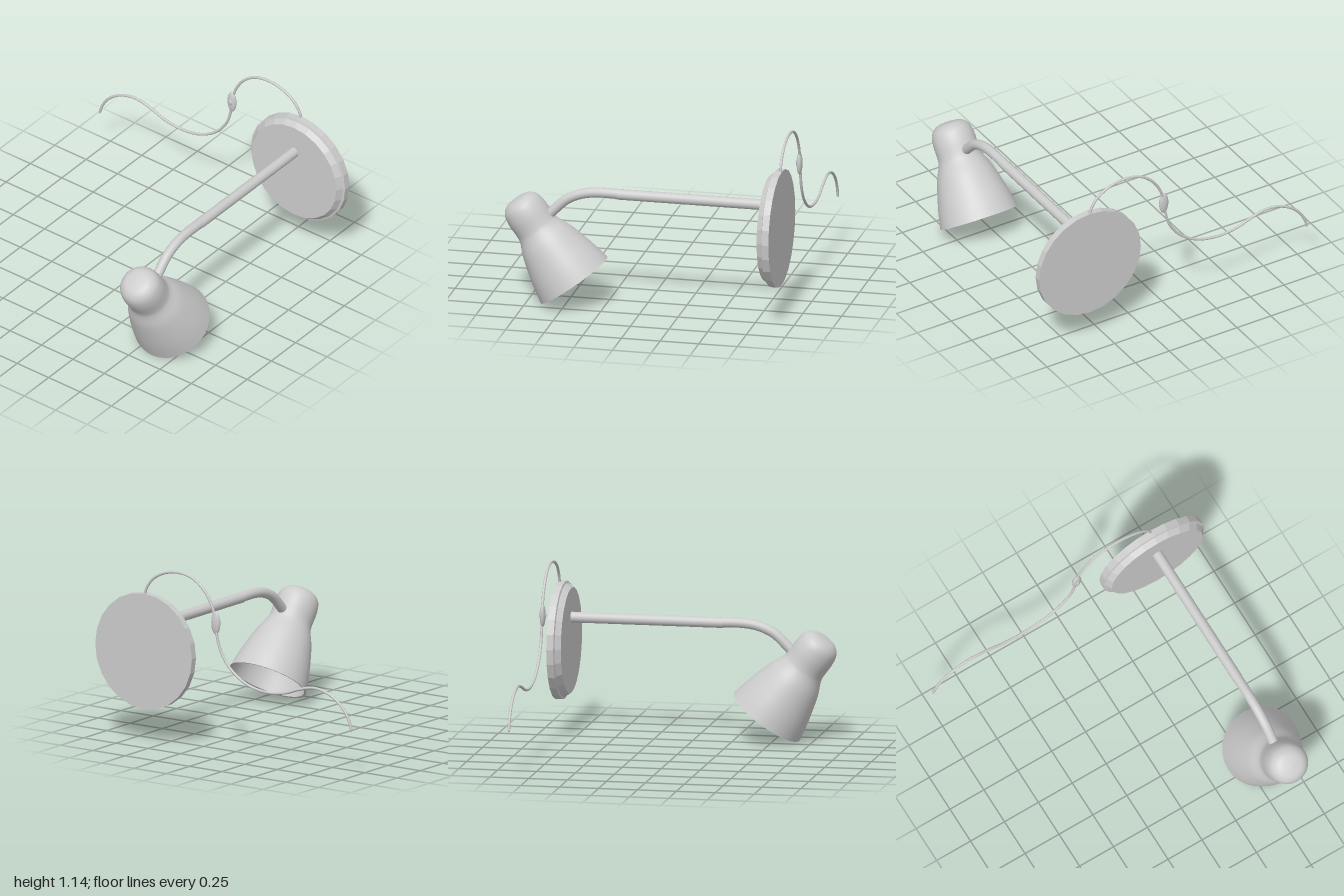
import * as THREE from 'three';

const grey = new THREE.MeshStandardMaterial({ color: 0xcccccc });
const greyFlat = new THREE.MeshStandardMaterial({ color: 0xcccccc, flatShading: true });
const greyDouble = new THREE.MeshStandardMaterial({ color: 0xcccccc, side: THREE.DoubleSide });

const LAMP_X = 0.615;
const CORD_Z = -0.88;

const vec2s = (pts) => pts.map(([x, y]) => new THREE.Vector2(x, y));

function addMesh(parent, name, geometry, material = grey) {
  const mesh = new THREE.Mesh(geometry, material);
  mesh.name = name;
  parent.add(mesh);
  return mesh;
}

function sweep(points, radius, steps, sides) {
  return new THREE.TubeGeometry(new THREE.CatmullRomCurve3(points), steps, radius, sides);
}

// Round wall plate with a stepped, bevelled front edge
function addWallPlate(parent) {
  const profile = vec2s([[0, 0], [0.375, 0], [0.375, 0.045], [0.36, 0.05], [0.336, 0.086], [0, 0.086]]);
  const plate = addMesh(parent, 'wallPlate', new THREE.LatheGeometry(profile, 24), greyFlat);
  plate.rotation.x = Math.PI / 2;
  plate.position.set(LAMP_X, 0.592, -0.89);
}

// Straight arm, then a slimmer bent neck reaching the shade
function addArm(parent) {
  const arm = addMesh(parent, 'arm', new THREE.CylinderGeometry(0.034, 0.034, 0.99, 20));
  arm.rotation.x = Math.PI / 2;
  arm.position.set(LAMP_X, 0.74, -0.325);
  const bend = [[0.742, 0.16], [0.742, 0.3], [0.727, 0.4], [0.683, 0.5], [0.605, 0.585], [0.55, 0.635]]
    .map(([y, z]) => new THREE.Vector3(LAMP_X, y, z));
  addMesh(parent, 'armBend', sweep(bend, 0.032, 32, 16));
}

// Tilted bell shade with domed cap, socket and bulb; local y runs from rim to cap
function addHead(parent) {
  const head = new THREE.Group();
  head.name = 'lampHead';
  head.position.set(LAMP_X, 0.15, 0.453);
  head.rotation.x = 0.626;
  parent.add(head);

  const outer = new THREE.SplineCurve(vec2s([
    [0.256, 0], [0.239, 0.09], [0.217, 0.18], [0.182, 0.3], [0.145, 0.385], [0.137, 0.43],
    [0.138, 0.51], [0.13, 0.57], [0.109, 0.607], [0.07, 0.631], [0, 0.64],
  ])).getPoints(50);
  outer[outer.length - 1].x = 0;
  const inner = vec2s([[0, 0.4], [0.12, 0.4], [0.17, 0.3], [0.205, 0.18], [0.227, 0.09], [0.242, 0.002]]);
  addMesh(head, 'shadeOutside', new THREE.LatheGeometry(outer, 48), greyDouble);
  addMesh(head, 'shadeInside', new THREE.LatheGeometry(inner, 48), greyDouble);
  addMesh(head, 'shadeRim', new THREE.LatheGeometry(vec2s([[0.242, 0.002], [0.256, 0]]), 48), greyDouble);

  const socket = addMesh(head, 'bulbSocket', new THREE.CylinderGeometry(0.055, 0.055, 0.14, 20));
  socket.position.y = 0.34;
  const bulb = addMesh(head, 'bulb', new THREE.SphereGeometry(0.1, 24, 16));
  bulb.position.y = 0.2;
}

// Wavy cord lying along the wall, with an inline switch
function addCord(parent) {
  const path = [
    [0.615, 0.94], [0.6, 1.0], [0.55, 1.067], [0.46, 1.118], [0.35, 1.135], [0.24, 1.112], [0.15, 1.045],
    [0.09, 0.95], [0.065, 0.86], [0.055, 0.78], [0.02, 0.665], [-0.06, 0.56], [-0.19, 0.48],
    [-0.35, 0.453], [-0.48, 0.47], [-0.58, 0.505], [-0.7, 0.531], [-0.82, 0.505], [-0.92, 0.435],
    [-0.97, 0.36], [-0.99, 0.3],
  ].map(([x, y]) => new THREE.Vector3(x, y, CORD_Z));
  addMesh(parent, 'cord', sweep(path, 0.009, 160, 8));
  for (const end of [path[0], path[path.length - 1]]) {
    addMesh(parent, 'cordEnd', new THREE.SphereGeometry(0.009, 8, 6)).position.copy(end);
  }

  const body = addMesh(parent, 'switchBody', new THREE.SphereGeometry(1, 20, 14));
  body.scale.set(0.033, 0.075, 0.018);
  body.position.set(0.064, 0.848, -0.877);
  const button = addMesh(parent, 'switchButton', new THREE.SphereGeometry(1, 12, 8));
  button.scale.set(0.014, 0.02, 0.012);
  button.position.set(0.064, 0.85, -0.864);
}

export function createModel() {
  const lamp = new THREE.Group();
  lamp.name = 'wallLamp';
  addWallPlate(lamp);
  addArm(lamp);
  addHead(lamp);
  addCord(lamp);
  return lamp;
}
